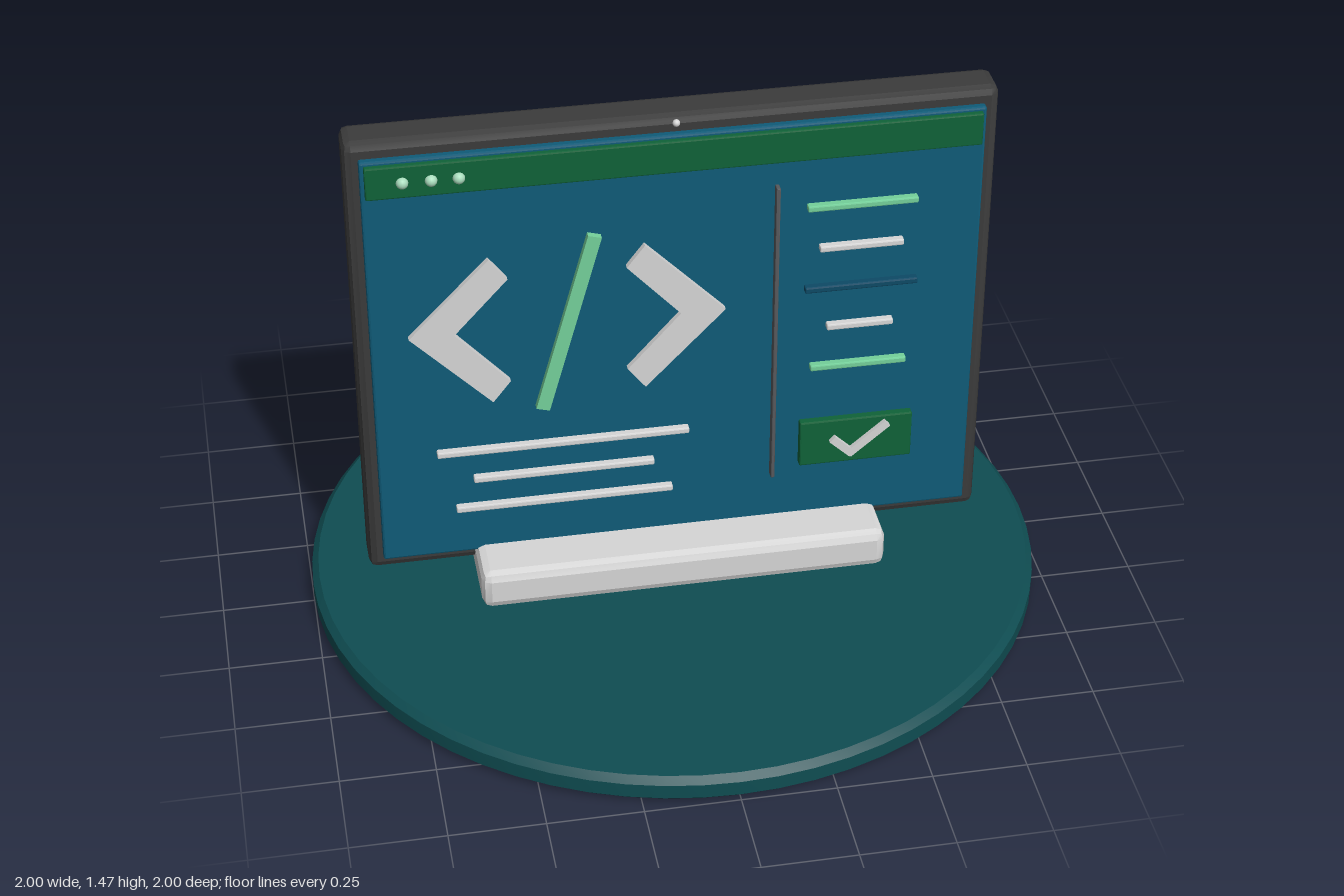
import * as THREE from 'three';
import { toCreasedNormals } from 'three/addons/utils/BufferGeometryUtils.js';
import { RoundedBoxGeometry } from 'three/addons/geometries/RoundedBoxGeometry.js';

const mat = (name, color) => {
  const m = new THREE.MeshStandardMaterial({ color });
  m.name = name;
  return m;
};

export function createModel() {
  const teal = mat('base teal', 0x0f4d52);
  const light = mat('light grey', 0xd6d6d6);
  const charcoal = mat('charcoal', 0x3b3b3b);
  const black = mat('vent black', 0x2a2a2a);
  const blue = mat('screen blue', 0x0f5b78);
  const green = mat('panel green', 0x0f6238);
  const mint = mat('mint', 0x74d09a);
  const grey = mat('divider grey', 0x57595c);
  const navy = mat('dark blue', 0x0d4a66);
  const pale = mat('pale mint', 0xa9dcbd);

  const root = new THREE.Group();
  root.name = 'displayOnStand';
  const add = (name, geo, m, x = 0, y = 0, z = 0, parent = root) => {
    const mesh = new THREE.Mesh(geo, m);
    mesh.name = name;
    mesh.position.set(x, y, z);
    parent.add(mesh);
    return mesh;
  };
  const group = (name) => {
    const g = new THREE.Group();
    g.name = name;
    root.add(g);
    return g;
  };
  // box with chamfered edges, given by its limits
  const block = (name, m, [x0, x1], [y0, y1], [z0, z1], bevel, parent) =>
    add(name, toCreasedNormals(new RoundedBoxGeometry(x1 - x0, y1 - y0, z1 - z0, 1, bevel), 0.3),
      m, (x0 + x1) / 2, (y0 + y1) / 2, (z0 + z1) / 2, parent);
  // flat outline raised from the screen
  const plate = (name, m, pts, z, depth, parent) => {
    const shape = new THREE.Shape(pts.map(([x, y]) => new THREE.Vector2(x, y)));
    return add(name, new THREE.ExtrudeGeometry(shape, { depth, bevelEnabled: false }), m, 0, 0, z, parent);
  };
  // straight bar between two points on the screen
  const stroke = (name, m, [ax, ay], [bx, by], width, z, depth, parent) => {
    const bar = add(name, new THREE.BoxGeometry(Math.hypot(bx - ax, by - ay), width, depth),
      m, (ax + bx) / 2, (ay + by) / 2, z, parent);
    bar.rotation.z = Math.atan2(by - ay, bx - ax);
  };

  // round base with chamfered rims
  const profile = [[0, 0.005], [0.98, 0.005], [1, 0.024], [1, 0.065], [0.982, 0.083], [0, 0.083]];
  add('base', toCreasedNormals(new THREE.LatheGeometry(
    profile.map(([r, y]) => new THREE.Vector2(r, y)), 64), 0.3), teal);

  // foot, frame and panels
  block('foot', light, [-0.557, 0.557], [0.08, 0.195], [-0.22, 0.22], 0.025);
  block('frame', charcoal, [-0.846, 0.846], [0.138, 1.472], [-0.056, 0.06], 0.022);
  block('screen', blue, [-0.808, 0.808], [0.18, 1.428], [0.05, 0.08], 0.006);
  block('backPanel', light, [-0.765, 0.765], [0.235, 1.38], [-0.076, -0.04], 0.005);
  block('headerBar', green, [-0.797, 0.797], [1.325, 1.418], [0.07, 0.095], 0.004);

  // window dots and camera
  const dots = group('headerDots');
  for (const x of [-0.703, -0.63, -0.56]) {
    add('dot', new THREE.SphereGeometry(0.016, 16, 12), pale, x, 1.37, 0.095, dots);
  }
  add('camera', new THREE.SphereGeometry(0.01, 12, 8), light, 0, 1.453, 0.062);

  // angle brackets, mirrored about x = -0.29
  const mid = -0.2915;
  const bracket = [[-0.495, 1.118], [-0.709, 0.898], [-0.495, 0.676], [-0.447, 0.738], [-0.59, 0.898], [-0.447, 1.055]];
  const symbol = group('codeSymbol');
  plate('rightBracket', light, bracket, 0.075, 0.022, symbol);
  plate('leftBracket', light, bracket.map(([x, y]) => [2 * mid - x, y]), 0.075, 0.022, symbol);
  stroke('slash', mint, [-0.364, 0.637], [-0.218, 1.16], 0.037, 0.087, 0.024, symbol);

  // text lines and divider
  const lines = group('textLines');
  const rows = [
    [light, -0.65, 0.03, 0.52], [light, -0.555, -0.065, 0.428], [light, -0.605, -0.015, 0.334],
    [mint, 0.34, 0.634, 1.18], [light, 0.375, 0.6, 1.054], [navy, 0.338, 0.642, 0.93],
    [light, 0.4, 0.58, 0.807], [mint, 0.358, 0.62, 0.68],
  ];
  for (const [m, x0, x1, y] of rows) {
    block('line', m, [x0, x1], [y - 0.009, y + 0.009], [0.075, 0.1], 0.004, lines);
  }
  block('divider', grey, [0.255, 0.266], [0.335, 1.255], [0.075, 0.103], 0.003);

  // button with check mark
  const button = group('button');
  block('buttonPlate', green, [0.334, 0.645], [0.364, 0.505], [0.075, 0.102], 0.004, button);
  stroke('checkShort', light, [0.422, 0.45], [0.478, 0.396], 0.022, 0.107, 0.016, button);
  stroke('checkLong', light, [0.468, 0.396], [0.574, 0.486], 0.022, 0.107, 0.016, button);

  // vent slots and ports on the back
  const vents = group('vents');
  for (let i = -5; i <= 5; i++) {
    const x = i * 0.052;
    block('vent', black, [x - 0.011, x + 0.011], [1.212, 1.326], [-0.087, -0.07], 0.004, vents);
  }
  const ports = group('ports');
  for (let i = 0; i < 4; i++) {
    const x = -0.25 + i * 0.162;
    block('port', black, [x - 0.056, x + 0.056], [0.282, 0.324], [-0.09, -0.07], 0.006, ports);
  }
  return root;
}
